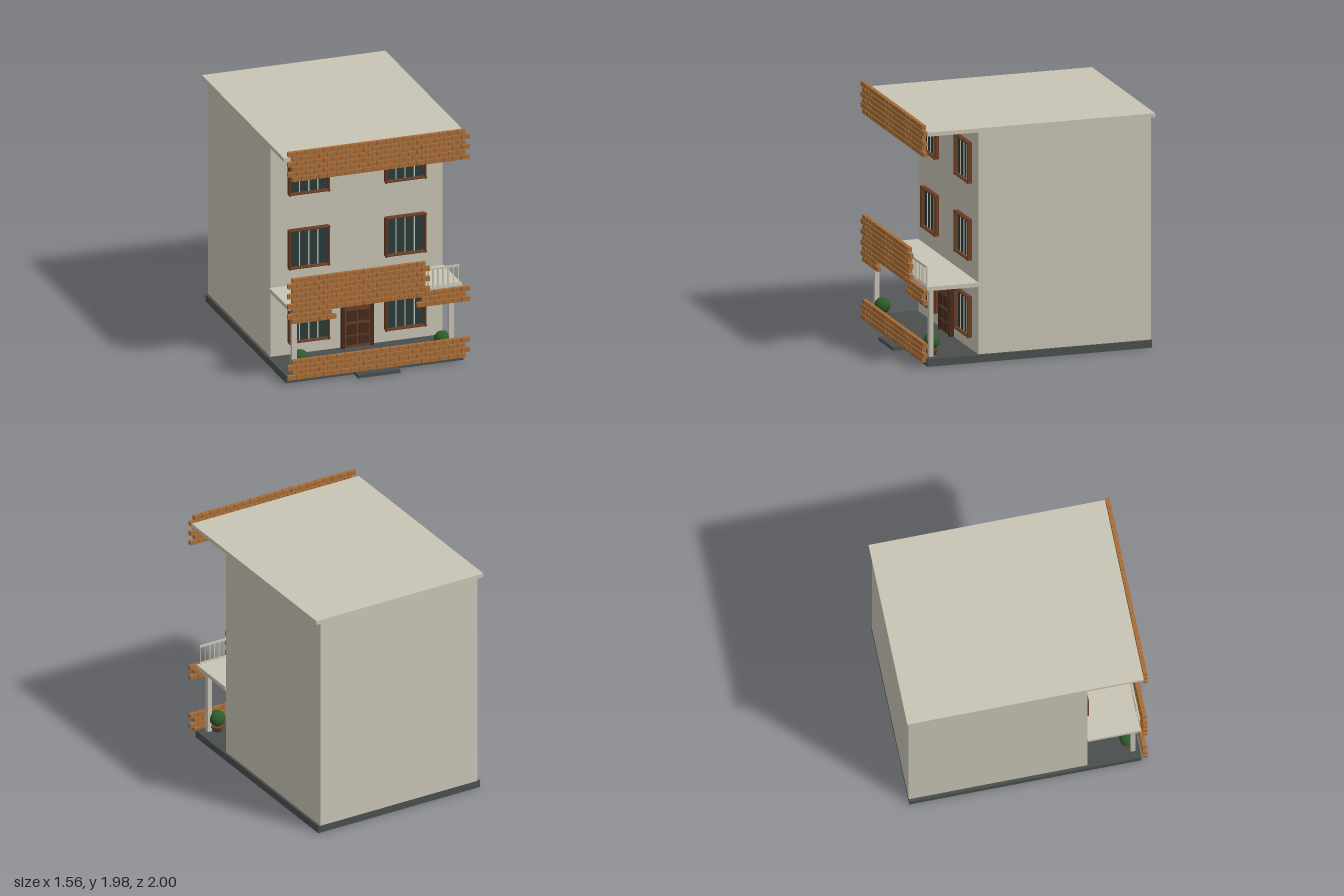
import * as THREE from 'three';
import { mergeGeometries } from 'three/addons/utils/BufferGeometryUtils.js';

const paint = (name, color) => {
  const m = new THREE.MeshStandardMaterial({ color });
  m.name = name;
  return m;
};

export function createModel() {
  const plaster = paint('plaster', 0xc8c4b4);
  const stone = paint('dark stone', 0x4a4f4e);
  const brick = paint('brick', 0xa86e38);
  const wood = paint('wood', 0x6b3f24);
  const darkWood = paint('dark wood', 0x482a1c);
  const glass = paint('glass', 0x2c3b3b);
  const leaf = paint('leaf', 0x2f5a2b);
  const clay = paint('clay', 0x70452a);

  const model = new THREE.Group();
  model.name = 'house';

  const add = (parent, name, geometry, material) => {
    const mesh = new THREE.Mesh(geometry, material);
    mesh.name = name;
    parent.add(mesh);
    return mesh;
  };
  // Box given by its extents on each axis
  const slab = (x0, x1, y0, y1, z0, z1) =>
    new THREE.BoxGeometry(x1 - x0, y1 - y0, z1 - z0)
      .translate((x0 + x1) / 2, (y0 + y1) / 2, (z0 + z1) / 2);

  // Main masses
  add(model, 'base', slab(-0.76, 0.74, 0, 0.062, -0.98, 0.905), stone);
  add(model, 'doorstep', slab(-0.185, 0.17, 0, 0.03, 0.905, 1), stone);
  add(model, 'body', slab(-0.737, 0.72, 0.062, 1.897, -0.98, 0.472), plaster);
  add(model, 'roof', slab(-0.783, 0.768, 1.897, 1.93, -1, 0.918), plaster);
  add(model, 'balconyFloor', slab(-0.745, 0.73, 0.618, 0.652, 0.472, 0.905), plaster);
  for (const x of [-0.675, 0.652])
    add(model, 'pillar', slab(x - 0.02, x + 0.02, 0.062, 0.618, 0.83, 0.867), plaster);

  // Brick bands: each row lists the spans of brick indices it holds
  const pitch = 0.0753, rowHeight = 0.0431;
  function brickBand(name, bottom, shift, rows) {
    const parts = [];
    rows.forEach((spans, r) => {
      const start = (r + shift) % 2 ? -0.76 : -0.723;
      for (const [from, to] of spans)
        for (let i = from; i < to; i++) {
          const x = start + i * pitch, y = bottom + r * rowHeight;
          parts.push(slab(x, x + pitch - 0.005, y, y + 0.037, 0.92, 0.952));
        }
    });
    add(model, name, mergeGeometries(parts), brick);
  }
  const full = [[0, 20]];
  brickBand('lowerBrickWall', 0.038, 1, Array(4).fill(full));
  brickBand('balconyBrickWall', 0.517, 0, [
    [[0, 5], [14, 20]], [[0, 5], [15, 20]], full,
    ...[16, 15, 16, 15, 16, 15].map((n) => [[0, n]]),
  ]);
  brickBand('roofBrickWall', 1.732, 0, Array(6).fill(full));

  // Balcony railing
  const rails = [
    slab(-0.715, 0.705, 0.802, 0.818, 0.892, 0.905),
    slab(-0.715, 0.705, 0.657, 0.667, 0.894, 0.903),
  ];
  for (let i = 0; i <= 33; i++) {
    const x = -0.71 + i * 0.0427;
    rails.push(slab(x - 0.004, x + 0.004, 0.652, 0.81, 0.894, 0.902));
  }
  add(model, 'balconyRailing', mergeGeometries(rails), plaster);

  // Windows: recessed glass, light bars, box frame and round trim rods
  function makeWindow(x, y) {
    const g = new THREE.Group();
    g.name = 'window';
    g.position.set(x, y, 0.472);
    const w = 0.165, h = 0.16;
    add(g, 'pane', slab(-w, w, -h, h, 0, 0.008), glass);
    for (const bx of [-0.077, 0, 0.077])
      add(g, 'windowBar', slab(bx - 0.004, bx + 0.004, -h, h, 0.008, 0.014), plaster);
    const frame = [], rods = [];
    for (const s of [-1, 1]) {
      frame.push(slab(s * w - 0.009, s * w + 0.009, -h - 0.003, h + 0.003, 0, 0.03));
      frame.push(slab(-w, w, s * h - 0.009, s * h + 0.009, 0, 0.029));
      rods.push(new THREE.CylinderGeometry(0.008, 0.008, 2 * h + 0.02, 8)
        .translate(s * w, 0, 0.033));
      rods.push(new THREE.CylinderGeometry(0.008, 0.008, 2 * w + 0.02, 8)
        .rotateZ(Math.PI / 2).translate(0, s * h, 0.033));
      for (const t of [-1, 1])
        rods.push(new THREE.SphereGeometry(0.011, 8, 6).translate(s * w, t * h, 0.033));
    }
    add(g, 'windowFrame', mergeGeometries(frame), wood);
    add(g, 'windowTrim', mergeGeometries(rods), wood);
    model.add(g);
  }
  for (const y of [0.33, 0.963, 1.595])
    for (const x of [-0.417, 0.398]) makeWindow(x, y);

  // Door
  const door = new THREE.Group();
  door.name = 'door';
  door.position.set(-0.01, 0.062, 0.472);
  model.add(door);
  add(door, 'doorLeaf', slab(-0.11, 0.11, 0, 0.37, 0, 0.025), wood);
  for (const s of [-1, 1]) {
    add(door, 'doorJamb', slab(s * 0.122 - 0.013, s * 0.122 + 0.013, 0, 0.395, 0, 0.04), darkWood);
    for (const [y0, y1] of [[0.03, 0.1], [0.115, 0.2], [0.23, 0.315]])
      add(door, 'doorPanel', slab(s * 0.052 - 0.042, s * 0.052 + 0.042, y0, y1, 0.025, 0.045), darkWood);
  }
  add(door, 'doorHead', slab(-0.109, 0.109, 0.37, 0.395, 0, 0.04), darkWood);

  // Potted shrubs
  const potProfile = [[0, 0], [0.037, 0], [0.046, 0.035], [0.053, 0.036], [0.053, 0.05], [0, 0.05]]
    .map(([r, y]) => new THREE.Vector2(r, y));
  for (const x of [-0.61, 0.59]) {
    const plant = new THREE.Group();
    plant.name = 'pottedShrub';
    plant.position.set(x, 0.062, 0.82);
    add(plant, 'pot', new THREE.LatheGeometry(potProfile, 16), clay);
    add(plant, 'shrub', new THREE.SphereGeometry(0.066, 16, 12).translate(0, 0.108, 0), leaf);
    model.add(plant);
  }
  return model;
}
